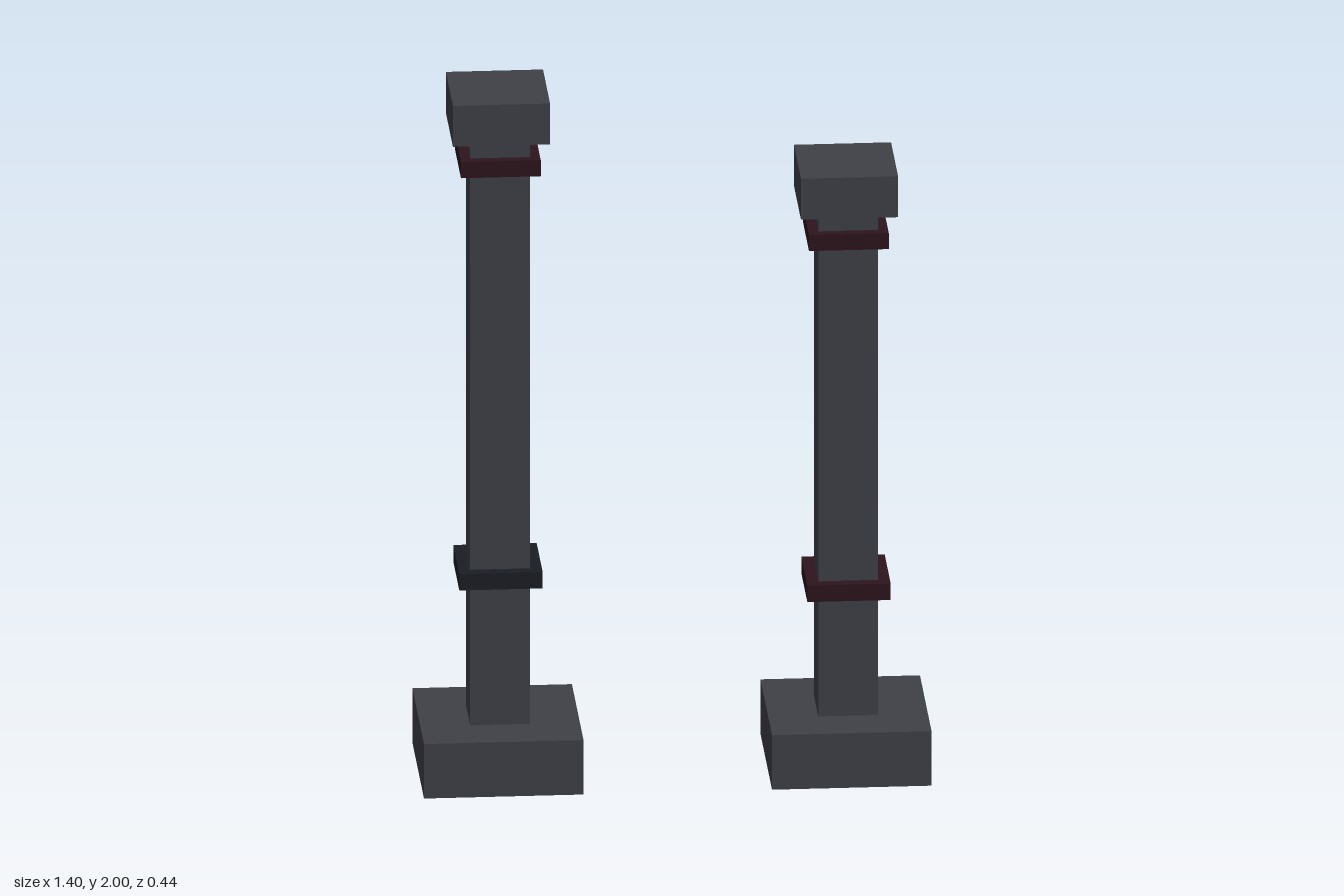
import * as THREE from 'three';

const stone = new THREE.MeshStandardMaterial({ color: 0x3f3f47 });
const maroon = new THREE.MeshStandardMaterial({ color: 0x2d141c });
const black = new THREE.MeshStandardMaterial({ color: 0x1b1d24 });

// Square block of the given width, spanning bottom to top
function block(name, width, bottom, top, material) {
  const mesh = new THREE.Mesh(new THREE.BoxGeometry(width, top - bottom, width), material);
  mesh.name = name;
  mesh.position.y = (bottom + top) / 2;
  return mesh;
}

// Pillar with plinth, shaft, capital and two collar bands
function pillar(name, x, height, lowerBandY, lowerBandMaterial) {
  const group = new THREE.Group();
  group.name = name;
  group.position.x = x;
  const capBottom = height - 0.12;
  group.add(
    block('plinth', 0.44, 0, 0.16, stone),
    block('shaft', 0.165, 0.16, capBottom, stone),
    block('capital', 0.268, capBottom, height, stone),
    block('upperBand', 0.22, height - 0.222, height - 0.175, maroon),
    block('lowerBand', 0.23, lowerBandY - 0.024, lowerBandY + 0.024, lowerBandMaterial)
  );
  return group;
}

export function createModel() {
  const model = new THREE.Group();
  model.name = 'pillarPair';
  model.add(
    pillar('rightPillar', -0.48, 2, 0.593, black),
    pillar('leftPillar', 0.48, 1.76, 0.533, maroon)
  );
  return model;
}
